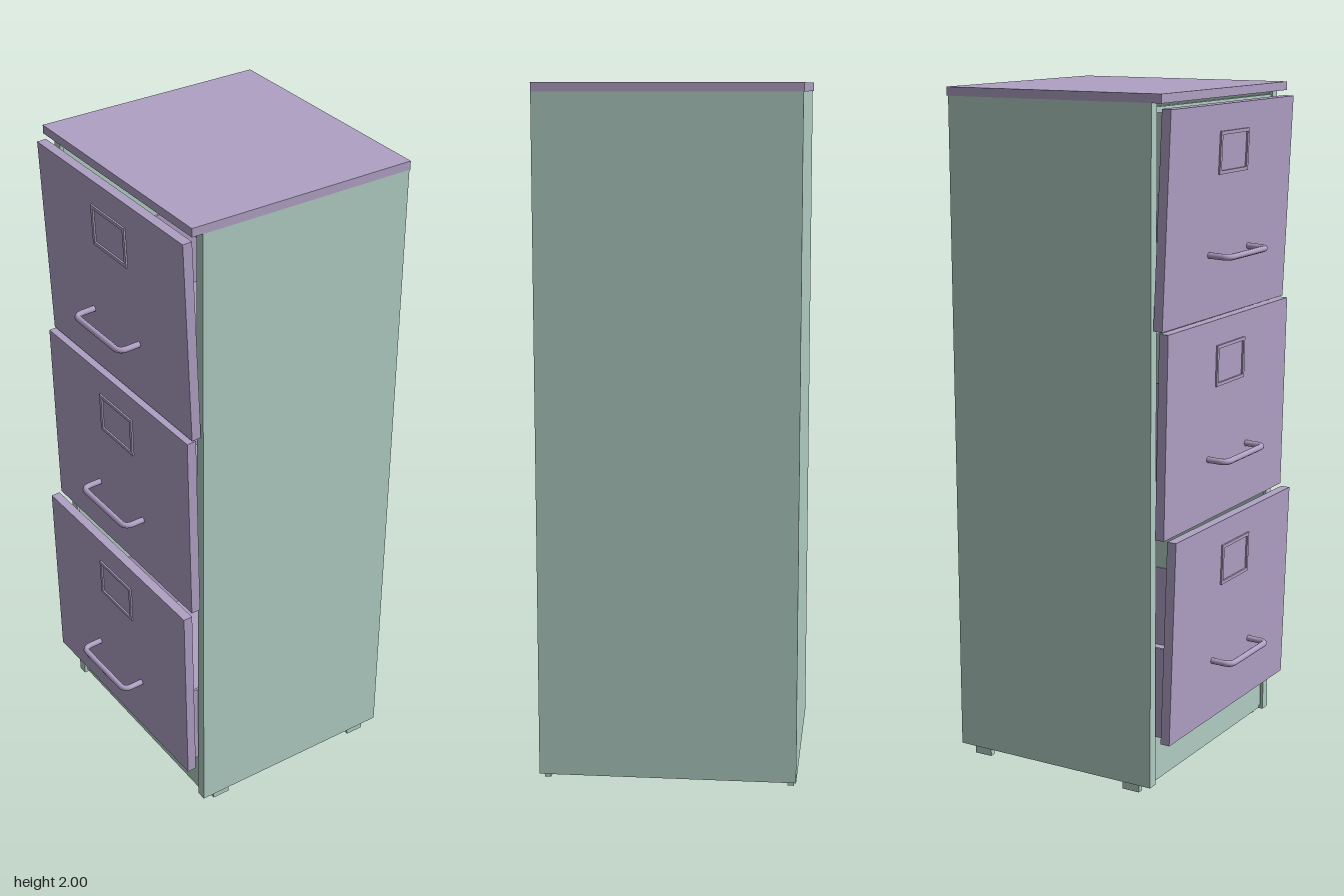
import * as THREE from 'three';

const green = new THREE.MeshStandardMaterial({ color: 0xb0ccc2 });
const purple = new THREE.MeshStandardMaterial({ color: 0xafa0c4 });

// Box given by its min and max on each axis
function addBox(parent, name, mat, [x0, x1], [y0, y1], [z0, z1]) {
  const mesh = new THREE.Mesh(new THREE.BoxGeometry(x1 - x0, y1 - y0, z1 - z0), mat);
  mesh.position.set((x0 + x1) / 2, (y0 + y1) / 2, (z0 + z1) / 2);
  mesh.name = name;
  parent.add(mesh);
  return mesh;
}

// Same box on both z sides
function addPair(parent, name, mat, xs, ys, [z0, z1]) {
  addBox(parent, name + 'Left', mat, xs, ys, [z0, z1]);
  addBox(parent, name + 'Right', mat, xs, ys, [-z1, -z0]);
}

// Rounded U-shaped pull standing out towards -x
function makeHandle(reach) {
  const w = 0.118, r = 0.025;
  const v = (x, z) => new THREE.Vector3(x, 0, z);
  const path = new THREE.CurvePath();
  path.add(new THREE.LineCurve3(v(0, -w), v(-reach + r, -w)));
  path.add(new THREE.QuadraticBezierCurve3(v(-reach + r, -w), v(-reach, -w), v(-reach, -w + r)));
  path.add(new THREE.LineCurve3(v(-reach, -w + r), v(-reach, w - r)));
  path.add(new THREE.QuadraticBezierCurve3(v(-reach, w - r), v(-reach, w), v(-reach + r, w)));
  path.add(new THREE.LineCurve3(v(-reach + r, w), v(0, w)));
  const handle = new THREE.Mesh(new THREE.TubeGeometry(path, 60, 0.009, 10), purple);
  handle.name = 'handle';
  return handle;
}

// Thin raised frame for a label card, facing -x
function makeLabelHolder() {
  const shape = new THREE.Shape();
  shape.moveTo(-0.085, -0.06).lineTo(0.085, -0.06).lineTo(0.085, 0.06).lineTo(-0.085, 0.06);
  const hole = new THREE.Path();
  hole.moveTo(-0.075, -0.05).lineTo(-0.075, 0.06 - 0.01).lineTo(0.075, 0.05).lineTo(0.075, -0.05);
  shape.holes.push(hole);
  const geo = new THREE.ExtrudeGeometry(shape, { depth: 0.005, bevelEnabled: false });
  const frame = new THREE.Mesh(geo.rotateY(-Math.PI / 2), purple);
  frame.name = 'labelHolder';
  return frame;
}

function makeDrawer({ y0, y1, x, tilt, yaw, roll, reach, boxX, boxY }) {
  const drawer = new THREE.Group();
  drawer.name = 'drawer';

  // Leaning front panel with its pull and label holder
  const front = new THREE.Group();
  const h = (y1 - y0) / 2, t = 0.014;
  front.name = 'drawerFront';
  addBox(front, 'panel', purple, [-t, t], [-h, h], [-0.367, 0.367]);
  const handle = makeHandle(reach);
  handle.position.set(-t, -h + 0.182, 0);
  const holder = makeLabelHolder();
  holder.position.set(-t, h - 0.135, 0);
  front.add(handle, holder);
  front.position.set(x, (y0 + y1) / 2, 0);
  front.rotation.set(roll, yaw, tilt);
  drawer.add(front);

  // Open tray behind it
  const xs = [boxX, 0.35], ys = [boxY, boxY + 0.27];
  addBox(drawer, 'trayFloor', purple, xs, [boxY, boxY + 0.008], [-0.335, 0.335]);
  addPair(drawer, 'traySide', purple, xs, ys, [0.327, 0.335]);
  addBox(drawer, 'trayBack', purple, [0.342, 0.35], ys, [-0.327, 0.327]);
  return drawer;
}

export function createModel() {
  const model = new THREE.Group();
  model.name = 'filingCabinet';

  // Sheet metal shell, open below
  const shell = new THREE.Group();
  shell.name = 'shell';
  const tall = [0.025, 1.975];
  addPair(shell, 'sidePanel', green, [-0.27, 0.393], tall, [0.362, 0.372]);
  addBox(shell, 'backPanel', green, [0.383, 0.393], tall, [-0.362, 0.362]);
  addPair(shell, 'frontFlange', green, [-0.27, -0.26], tall, [0.342, 0.362]);
  addBox(shell, 'kickPlate', green, [-0.255, -0.245], [0.025, 0.165], [-0.362, 0.362]);
  addPair(shell, 'bottomRim', green, [-0.26, 0.383], [0.025, 0.033], [0.342, 0.362]);
  addBox(shell, 'bottomRimBack', green, [0.363, 0.383], [0.025, 0.033], [-0.342, 0.342]);
  for (const y of [0.765, 1.355, 1.955])
    addBox(shell, 'crossRail', green, [-0.265, -0.245], [y - 0.008, y + 0.008], [-0.362, 0.362]);
  model.add(shell);

  // Top lid overhanging the drawers
  addBox(model, 'topLid', purple, [-0.303, 0.396], [1.975, 2], [-0.375, 0.372]);

  // Runners under each tray
  for (const y of [0.13, 0.735, 1.335])
    addPair(model, 'runner', purple, [-0.24, 0.36], [y, y + 0.035], [0.31, 0.36]);

  // Feet
  for (const x of [-0.2, 0.32])
    addPair(model, 'foot', green, [x - 0.028, x + 0.028], [0, 0.026], [0.346, 0.364]);

  // Drawers from top to bottom
  const drawers = [
    { y0: 1.36, y1: 1.96, x: -0.301, tilt: 0.042, yaw: 0, roll: 0, reach: 0.063, boxX: -0.285, boxY: 1.375 },
    { y0: 0.77, y1: 1.355, x: -0.3, tilt: 0.02, yaw: 0.004, roll: 0, reach: 0.06, boxX: -0.288, boxY: 0.778 },
    { y0: 0.163, y1: 0.765, x: -0.32, tilt: 0.025, yaw: 0.014, roll: 0.012, reach: 0.062, boxX: -0.31, boxY: 0.17 },
  ];
  for (const spec of drawers) model.add(makeDrawer(spec));

  return model;
}
